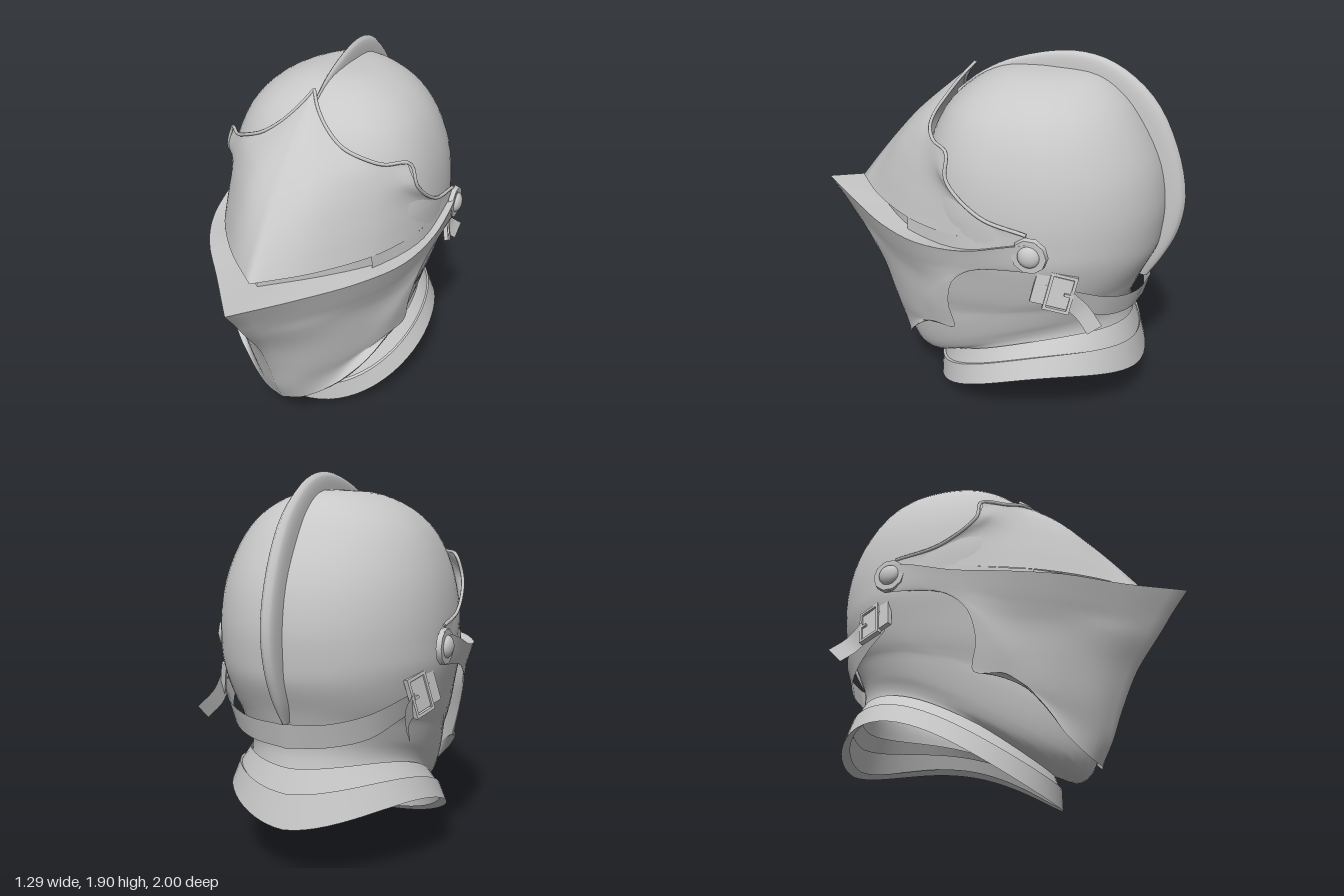
import * as THREE from 'three';
import { mergeVertices } from 'three/addons/utils/BufferGeometryUtils.js';

const steel = new THREE.MeshStandardMaterial({ color: 0xc8c8c8, side: THREE.DoubleSide });
steel.name = 'steel';

const curve = (pts) => new THREE.CatmullRomCurve3(pts.map((p) => new THREE.Vector3(...p)));

// Smooth sheet through rows of points on the +x half, mirrored to -x and welded at x = 0
function patch(name, rows, nu = 20, nv = 20) {
  const lines = rows.map((r) => {
    const c = curve(r);
    return Array.from({ length: nu + 1 }, (_, j) => c.getPoint(j / nu));
  });
  const pos = [], index = [], count = (nu + 1) * (nv + 1);
  const columns = lines[0].map((_, j) => new THREE.CatmullRomCurve3(lines.map((l) => l[j])));
  for (const side of [1, -1])
    for (let i = 0; i <= nv; i++)
      for (const col of columns) {
        const p = col.getPoint(i / nv);
        pos.push(side * Math.max(0, p.x), p.y, p.z);
      }
  for (let i = 0; i < nv; i++)
    for (let j = 0; j < nu; j++) {
      const a = i * (nu + 1) + j, b = a + 1, c = a + nu + 1, d = c + 1, m = count;
      index.push(a, c, b, b, c, d, a + m, b + m, c + m, b + m, d + m, c + m);
    }
  let geo = new THREE.BufferGeometry();
  geo.setAttribute('position', new THREE.Float32BufferAttribute(pos, 3));
  geo.setIndex(index);
  geo = mergeVertices(geo, 1e-4);
  geo.computeVertexNormals();
  const mesh = new THREE.Mesh(geo, steel);
  mesh.name = name;
  return mesh;
}

// Half ring from front to back: heights and depths at both ends, half width, front fullness, arch, opening angle
function ring([yF, zF, yB, zB, w, full = 2.4, arch = 0, open = 0]) {
  const c = -0.26, n = 24;
  return Array.from({ length: n + 1 }, (_, i) => {
    const a = open + (Math.PI - open) * i / n;
    const cos = Math.cos(a), e = cos > 0 ? 2 / full : 1;
    const z = c + Math.sign(cos) * Math.abs(cos) ** e * (cos > 0 ? zF - c : c - zB);
    const t = zF > zB ? THREE.MathUtils.clamp((z - zB) / (zF - zB), 0, 1) : 0;
    const x = i === n ? 0 : w * Math.max(0, Math.sin(a)) ** e;
    return [x, yB + (yF - yB) * t + arch * Math.sin(Math.PI * t ** 0.8), z];
  });
}

export function createModel() {
  const model = new THREE.Group();
  model.name = 'helmet';

  // Skull, cheeks, chin and neck in one shell, open at the face
  model.add(patch('skullShell', [
    [1.82, -0.26, 1.82, -0.26, 0], [1.8, -0.06, 1.8, -0.53, 0.185],
    [1.72, 0.1, 1.72, -0.66, 0.355], [1.6, 0.22, 1.6, -0.76, 0.468],
    [1.4, 0.3, 1.4, -0.865, 0.55], [1.2, 0.33, 1.2, -0.905, 0.58, 2.4, 0, 0.4],
    [1, 0.36, 1.05, -0.9, 0.582, 2.3, 0, 0.9], [0.85, 0.45, 0.95, -0.885, 0.56, 2.1, 0, 0.9],
    [0.6, 0.5, 0.82, -0.83, 0.52, 2, 0.02, 0.6], [0.35, 0.5, 0.74, -0.8, 0.49, 1.9, 0.08],
    [0.17, 0.46, 0.66, -0.77, 0.465, 1.9, 0.11], [0.12, 0.38, 0.6, -0.765, 0.445, 1.95, 0.13],
    [0.17, 0.25, 0.55, -0.77, 0.435, 2, 0.12], [0.13, 0.25, 0.49, -0.78, 0.44, 2, 0.12],
  ].map(ring), 32, 48));

  // Comb over the skull: outer z, y, inner z, y, half width
  const comb = [
    [0.2, 1.65, 0.2, 1.6, 0.004], [0.06, 1.76, 0.05, 1.7, 0.01], [-0.12, 1.845, -0.1, 1.76, 0.018],
    [-0.4, 1.9, -0.38, 1.79, 0.026], [-0.6, 1.86, -0.57, 1.74, 0.034], [-0.8, 1.71, -0.73, 1.6, 0.042],
    [-0.93, 1.48, -0.83, 1.42, 0.044], [-0.995, 1.22, -0.88, 1.2, 0.044], [-0.975, 1.03, -0.87, 1.03, 0.042],
    [-0.91, 0.87, -0.84, 0.87, 0.034], [-0.84, 0.75, -0.8, 0.76, 0.015],
  ];
  model.add(patch('comb', comb.reverse().map(([zo, yo, zi, yi, w]) => [
    [0, yo, zo], [w * 0.65, yo * 0.8 + yi * 0.2, zo * 0.8 + zi * 0.2], [w, yi, zi],
  ]), 8, 40));

  // Upper visor, from its lower edge to the scalloped upper edge
  const visor = [
    [[0, 1.09, 0.78], [0.2, 1.09, 0.6], [0.35, 1.09, 0.42], [0.45, 1.09, 0.26], [0.54, 1.1, 0.03], [0.575, 1.13, -0.16], [0.592, 1.185, -0.36]],
    [[0, 1.25, 0.655], [0.18, 1.25, 0.54], [0.32, 1.25, 0.39], [0.43, 1.25, 0.23], [0.52, 1.25, 0.04], [0.555, 1.24, -0.06], [0.575, 1.235, -0.12]],
    [[0, 1.4, 0.53], [0.16, 1.4, 0.465], [0.28, 1.4, 0.355], [0.38, 1.4, 0.235], [0.47, 1.39, 0.13], [0.51, 1.385, 0.09], [0.535, 1.38, 0.055]],
    [[0, 1.53, 0.41], [0.12, 1.52, 0.38], [0.22, 1.51, 0.325], [0.32, 1.5, 0.24], [0.41, 1.5, 0.155], [0.45, 1.495, 0.11], [0.49, 1.49, 0.07]],
    [[0, 1.8, 0.1], [0.05, 1.73, 0.16], [0.13, 1.65, 0.21], [0.22, 1.59, 0.235], [0.32, 1.55, 0.22], [0.4, 1.515, 0.17], [0.495, 1.495, 0.065]],
  ];
  model.add(patch('visor', [...visor].reverse(), 24, 24));
  model.add(patch('visorSide', [
    [[0.415, 1.09, 0.32], [0.54, 1.1, 0.03], [0.575, 1.13, -0.16], [0.592, 1.185, -0.36]],
    [[0.42, 1.02, 0.32], [0.545, 1.03, 0.03], [0.58, 1.06, -0.16], [0.592, 1.1, -0.38]],
  ], 12, 2));
  model.add(patch('sightStrip', [1.1, 1.02].map((y) =>
    [[0, y, 0.71], [0.19, y, 0.54], [0.33, y, 0.4], [0.42, y, 0.28]]), 12, 1));

  // Beaked lower visor with side arms reaching the pivots
  const beakTop = [[0, 1.05, 1], [0.22, 1.03, 0.72], [0.42, 1.03, 0.47], [0.55, 1.03, 0.22], [0.61, 1.06, -0.05], [0.625, 1.12, -0.25], [0.615, 1.165, -0.42]];
  model.add(patch('lowerVisor', [
    beakTop,
    [[0, 0.93, 0.91], [0.21, 0.92, 0.67], [0.395, 0.92, 0.44], [0.52, 0.93, 0.21], [0.583, 0.97, 0], [0.608, 1.02, -0.2], [0.607, 1.03, -0.44]],
    [[0, 0.87, 0.87], [0.2, 0.86, 0.65], [0.375, 0.86, 0.43], [0.49, 0.87, 0.23], [0.555, 0.9, 0.07], [0.58, 0.93, -0.04], [0.588, 0.965, -0.12]],
    [[0, 0.8, 0.82], [0.195, 0.79, 0.63], [0.355, 0.79, 0.42], [0.46, 0.79, 0.24], [0.525, 0.81, 0.12], [0.552, 0.84, 0.06], [0.563, 0.86, 0.02]],
    [[0, 0.65, 0.715], [0.175, 0.64, 0.58], [0.32, 0.64, 0.42], [0.415, 0.65, 0.28], [0.485, 0.66, 0.17], [0.515, 0.68, 0.1], [0.53, 0.7, 0.06]],
    [[0, 0.45, 0.625], [0.15, 0.45, 0.54], [0.28, 0.47, 0.415], [0.38, 0.5, 0.29], [0.45, 0.53, 0.18], [0.485, 0.545, 0.1], [0.505, 0.55, 0.04]],
    [[0, 0.3, 0.57], [0.11, 0.31, 0.52], [0.225, 0.35, 0.43], [0.32, 0.41, 0.34], [0.395, 0.47, 0.27], [0.44, 0.51, 0.22], [0.47, 0.535, 0.18]],
    [[0, 0.18, 0.51], [0.1, 0.195, 0.485], [0.19, 0.235, 0.445], [0.27, 0.29, 0.4], [0.33, 0.35, 0.37], [0.385, 0.41, 0.33], [0.43, 0.47, 0.28]],
  ], 24, 32));
  model.add(patch('visorShelf', [
    [[0, 1.03, 0.68], [0.19, 1.03, 0.52], [0.33, 1.03, 0.39], [0.45, 1.02, 0.2], [0.54, 1.04, -0.05], [0.565, 1.1, -0.25], [0.575, 1.15, -0.4]],
    beakTop,
  ], 24, 1));

  // Gorget: neck band, flared flange and turned-in rim
  const collar = [
    [0.2, 0.245, 0.53, -0.78, 0.445, 2, 0.11], [0.12, 0.27, 0.41, -0.82, 0.495, 2, 0.15],
    [0.11, 0.285, 0.42, -0.825, 0.505, 2, 0.15], [0, 0.285, 0.26, -0.865, 0.55, 2, 0.195],
    [0.03, 0.25, 0.285, -0.82, 0.515, 2, 0.195],
  ].map(ring);
  model.add(patch('neckBand', collar.slice(0, 2), 32, 4));
  model.add(patch('collarStep', collar.slice(1, 3), 32, 1));
  model.add(patch('collarFlange', collar.slice(2, 4), 32, 4));
  model.add(patch('collarRim', collar.slice(3, 5), 32, 1));

  // Strap round the back and its loose tails
  model.add(patch('strap', [
    [[0, 0.64, -0.83], [0.2, 0.655, -0.79], [0.36, 0.69, -0.69], [0.455, 0.76, -0.57], [0.53, 0.83, -0.43]],
    [[0, 0.76, -0.86], [0.2, 0.77, -0.825], [0.37, 0.81, -0.73], [0.48, 0.87, -0.6], [0.558, 0.93, -0.45]],
  ], 20, 1));
  model.add(patch('strapTail', [
    [[0.53, 0.9, -0.57], [0.52, 0.83, -0.65], [0.56, 0.76, -0.73]],
    [[0.525, 0.8, -0.52], [0.515, 0.75, -0.59], [0.55, 0.69, -0.66]],
  ], 6, 1));

  // Fittings on each side
  const rimPath = curve([...visor[4], ...[3, 2, 1, 0].map((i) => visor[i][6]).slice(1)]);
  const rimGeo = new THREE.TubeGeometry(rimPath, 48, 0.009, 6);
  const discGeo = new THREE.CylinderGeometry(0.085, 0.09, 0.025, 10).rotateZ(-Math.PI / 2);
  const rivetGeo = new THREE.SphereGeometry(0.055, 16, 12).scale(0.6, 1, 1);
  const frame = new THREE.Shape([[-0.065, -0.095], [0.065, -0.095], [0.065, 0.095], [-0.065, 0.095]].map((p) => new THREE.Vector2(...p)));
  frame.holes.push(new THREE.Path([[-0.05, -0.08], [-0.05, 0.08], [0.05, 0.08], [0.05, -0.08]].map((p) => new THREE.Vector2(...p))));
  const frameGeo = new THREE.ExtrudeGeometry(frame, { depth: 0.025, bevelEnabled: false });

  for (const side of [1, -1]) {
    const fittings = new THREE.Group();
    fittings.name = side > 0 ? 'leftFittings' : 'rightFittings';
    fittings.scale.x = side;
    const add = (parent, name, geo, x, y, z) => {
      const mesh = new THREE.Mesh(geo, steel);
      mesh.name = name;
      mesh.position.set(x, y, z);
      parent.add(mesh);
    };
    add(fittings, 'visorRim', rimGeo, 0, 0, 0);
    add(fittings, 'pivotPlate', discGeo, 0.605, 1.09, -0.38);
    add(fittings, 'pivotRivet', rivetGeo, 0.613, 1.09, -0.38);
    const buckle = new THREE.Group();
    buckle.name = 'buckle';
    buckle.position.set(0.52, 0.88, -0.5);
    buckle.rotation.set(-0.15, 1.9, -0.24, 'YXZ');
    add(buckle, 'bucklePlate', new THREE.BoxGeometry(0.18, 0.15, 0.024), -0.03, 0, 0.01);
    add(buckle, 'buckleFrame', frameGeo, 0.01, 0, 0.005);
    add(buckle, 'bucklePin', new THREE.BoxGeometry(0.03, 0.014, 0.014), 0.045, 0, 0.026);
    fittings.add(buckle);
    model.add(fittings);
  }
  return model;
}
